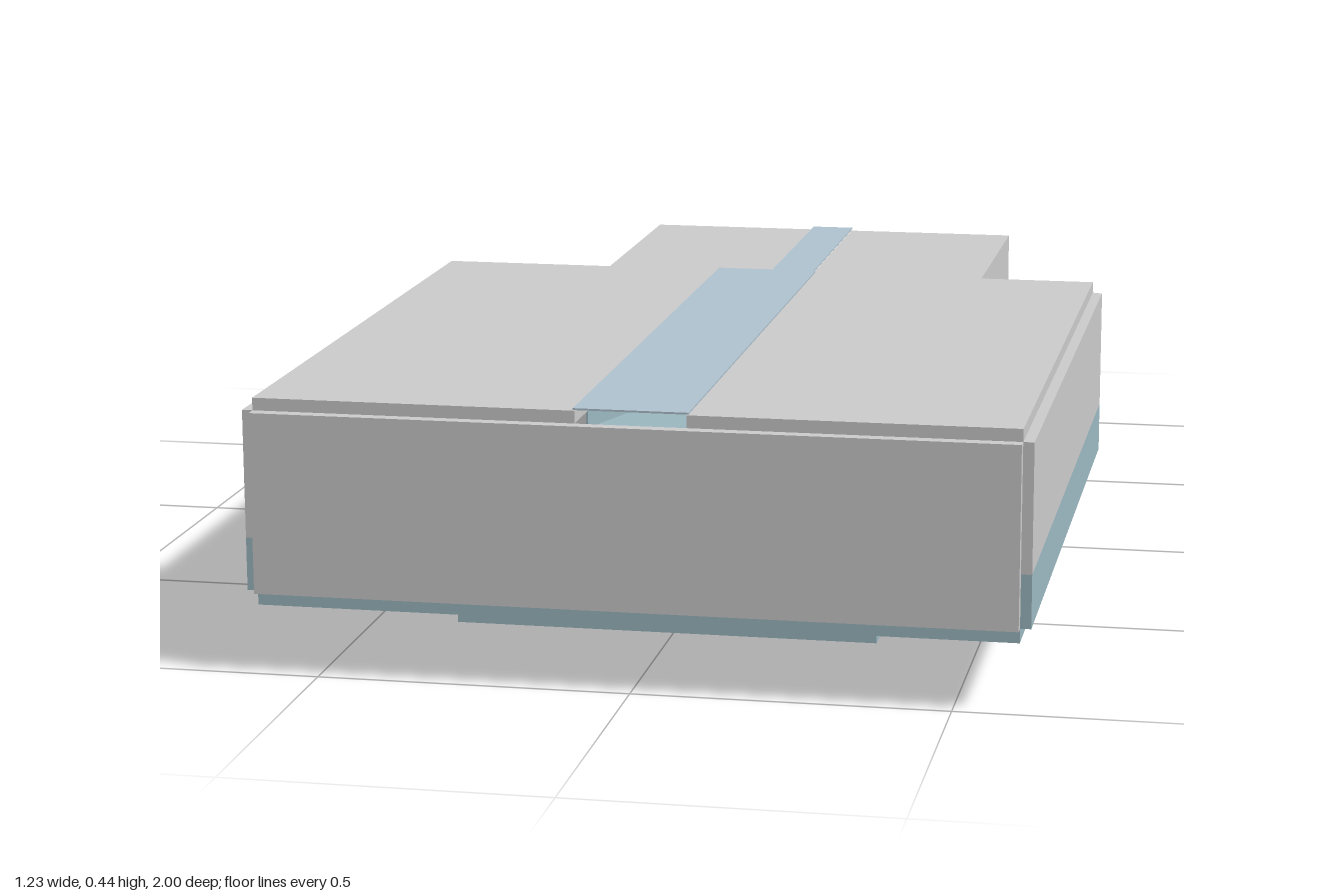
import * as THREE from 'three';

const wallMat = new THREE.MeshStandardMaterial({ color: 0xcccccc });
const floorMat = new THREE.MeshStandardMaterial({ color: 0x9db9c2 });
const glassMat = new THREE.MeshStandardMaterial({ color: 0xb0c3cf, side: THREE.DoubleSide });

export function createModel() {
  const model = new THREE.Group();

  // Box given by its min and max on each axis
  function slab(name, mat, [x0, x1], [y0, y1], [z0, z1]) {
    const mesh = new THREE.Mesh(new THREE.BoxGeometry(x1 - x0, y1 - y0, z1 - z0), mat);
    mesh.position.set((x0 + x1) / 2, (y0 + y1) / 2, (z0 + z1) / 2);
    mesh.name = name;
    model.add(mesh);
  }
  // The same box on both sides of x = 0
  function pair(name, mat, [x0, x1], y, z) {
    slab(name + 'Left', mat, [x0, x1], y, z);
    slab(name + 'Right', mat, [-x1, -x0], y, z);
  }
  // Side profile of [z, y] points, extruded from x0 to x1
  function profile(name, mat, points, x0, x1) {
    const shape = new THREE.Shape(points.map(([z, y]) => new THREE.Vector2(-z, y)));
    const geo = new THREE.ExtrudeGeometry(shape, { depth: x1 - x0, bevelEnabled: false });
    geo.rotateY(Math.PI / 2).translate(x0, 0, 0);
    const mesh = new THREE.Mesh(geo, mat);
    mesh.name = name;
    model.add(mesh);
  }

  // Main hall floor, with an opening above the pit
  const outline = new THREE.Shape([[-0.6, -0.98], [0.6, -0.98], [0.6, 0.22], [-0.6, 0.22]]
    .map(p => new THREE.Vector2(...p)));
  outline.holes.push(new THREE.Path([[-0.345, -0.725], [-0.345, -0.045], [0.345, -0.045], [0.345, -0.725]]
    .map(p => new THREE.Vector2(...p))));
  const floorGeo = new THREE.ExtrudeGeometry(outline, { depth: 0.025, bevelEnabled: false });
  floorGeo.rotateX(-Math.PI / 2).translate(0, 0.107, 0);
  const floor = new THREE.Mesh(floorGeo, floorMat);
  floor.name = 'hallFloor';
  model.add(floor);

  // Sunken pit below the hall
  slab('pitFloor', floorMat, [-0.345, 0.345], [0.02, 0.04], [0.04, 0.727]);
  pair('pitSide', floorMat, [0.343, 0.35], [0.04, 0.11], [0.045, 0.725]);
  slab('pitFront', floorMat, [-0.345, 0.345], [0.04, 0.11], [0.725, 0.733]);
  slab('pitBack', floorMat, [-0.345, 0.345], [0.04, 0.11], [0.036, 0.045]);

  // Hall walls
  const hallZ = [-0.22, 0.98];
  pair('hallSideLower', floorMat, [0.6, 0.617], [0.13, 0.215], hallZ);
  pair('hallSideUpper', wallMat, [0.6, 0.617], [0.215, 0.42], hallZ);
  slab('hallFront', wallMat, [-0.6, 0.6], [0.13, 0.42], [0.98, 1]);
  pair('hallBack', wallMat, [0.345, 0.6], [0.13, 0.42], [-0.238, -0.22]);
  slab('hallLintel', wallMat, [-0.345, 0.345], [0.37, 0.423], [-0.234, -0.22]);

  // Hall roof halves and the skylight over the slot between them
  pair('hallRoof', wallMat, [0.087, 0.6], [0.42, 0.44], hallZ);
  slab('hallSkylight', glassMat, [-0.09, 0.09], [0.441, 0.444], hallZ);

  // Entry passage walls, roof halves and skylight
  const passZ = [-1, -0.225];
  pair('passageWall', wallMat, [0.345, 0.363], [0, 0.375], passZ);
  pair('passageRoof', wallMat, [0.038, 0.363], [0.373, 0.384], passZ);
  slab('passageSkylight', glassMat, [-0.04, 0.04], [0.387, 0.39], passZ);

  // Passage ramp and the low lining along each inner wall
  profile('passageRamp', floorMat, [[-1, 0], [-0.22, 0.107], [-0.22, 0.13], [-1, 0.02]], -0.345, 0.345);
  const lining = [[-0.998, 0.02], [-0.22, 0.13], [-0.22, 0.215], [-0.998, 0.105]];
  profile('rampLiningLeft', floorMat, lining, 0.341, 0.345);
  profile('rampLiningRight', floorMat, lining, -0.345, -0.341);

  return model;
}
